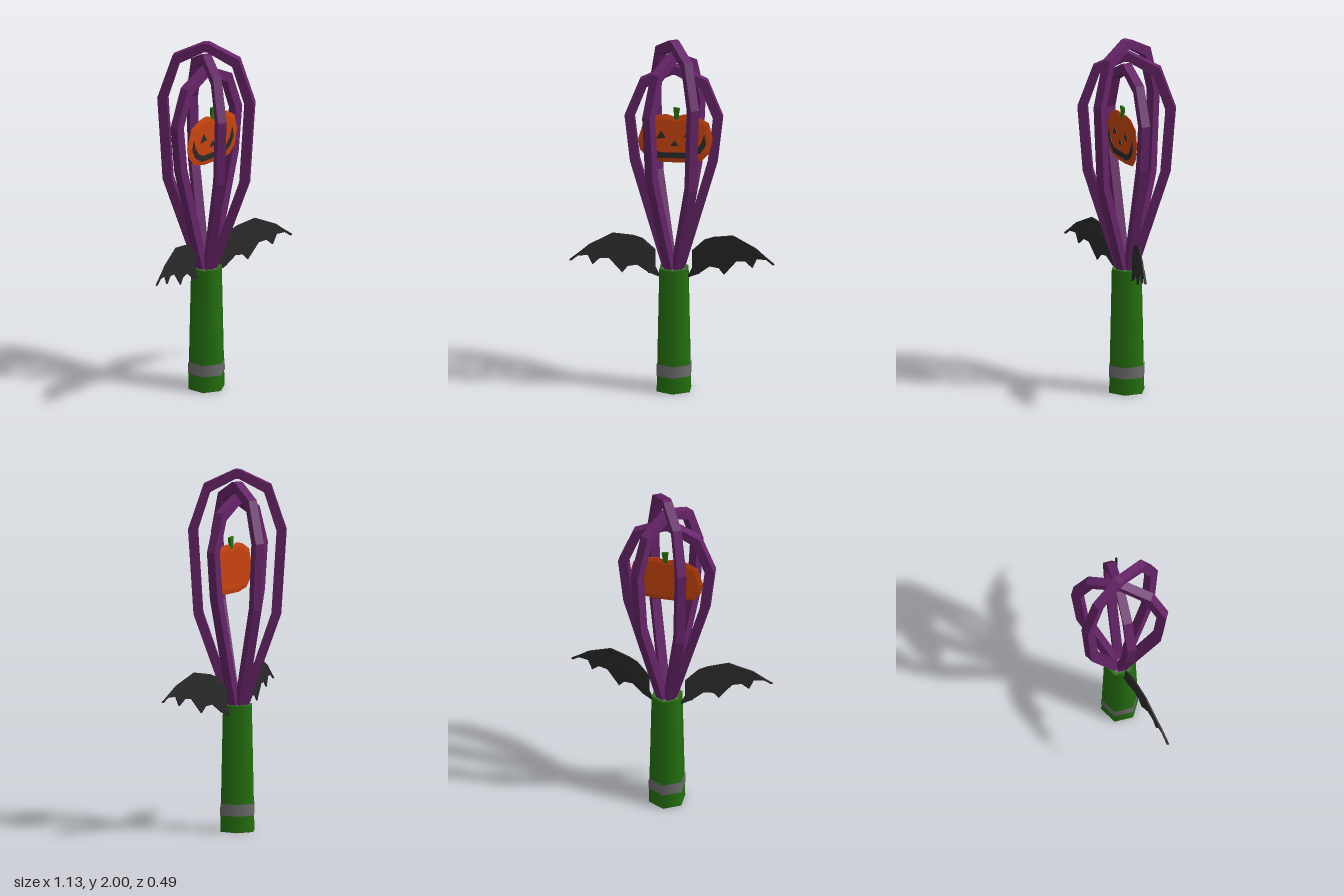
import * as THREE from 'three';

const mat = (name, color, side = THREE.FrontSide) => {
  const m = new THREE.MeshStandardMaterial({ color, side });
  m.name = name;
  return m;
};

const shapeOf = (pts, s = 1) => new THREE.Shape(pts.map(([x, y]) => new THREE.Vector2(x * s, y)));

export function createModel() {
  const purple = mat('purple', 0x662468);
  const green = mat('green', 0x24700f);
  const orange = mat('orange', 0xc8440f);
  const black = mat('black', 0x2b2b2b);
  const grey = mat('grey', 0x6c6c6c);

  const model = new THREE.Group();
  model.name = 'whisk';
  const add = (name, geometry, material, parent = model) => {
    const mesh = new THREE.Mesh(geometry, material);
    mesh.name = name;
    parent.add(mesh);
    return mesh;
  };
  const plate = (pts, depth, z, s = 1) =>
    new THREE.ExtrudeGeometry(shapeOf(pts, s), { depth, bevelEnabled: false }).translate(0, 0, z);

  // Tapered hexagonal handle with its ring and end caps
  add('handle', new THREE.CylinderGeometry(0.089, 0.105, 0.7, 6).translate(0, 0.35, 0), green);
  add('handleRing', new THREE.CylinderGeometry(0.105, 0.107, 0.065, 6, 1, true).translate(0, 0.123, 0), grey);
  add('handleTopCap', new THREE.CylinderGeometry(0.074, 0.074, 0.004, 6).translate(0, 0.7, 0), grey);
  add('handleBottomCap', new THREE.CylinderGeometry(0.104, 0.104, 0.004, 6).translate(0, 0.001, 0), black);

  // Three crossed wire loops of different heights: [angle, apex, shoulder, widest, knee]
  const loops = [
    [0, 1.86, 1.78, 1.57, 1.31],
    [60, 1.93, 1.85, 1.62, 1.25],
    [-60, 2.0, 1.92, 1.67, 1.2],
  ];
  for (const [angle, apex, shoulder, widest, knee] of loops) {
    const half = [
      [0.055, 0.68], [0.24, knee], [0.27, widest], [0.185, shoulder], [0.015, apex],
    ];
    const inner = [
      [0.006, 0.68], [0.188, knee + 0.01], [0.216, widest - 0.006], [0.148, shoulder - 0.043], [0.01, apex - 0.05],
    ];
    const flip = (pts) => pts.map(([x, y]) => [-x, y]).reverse();
    const ring = [...half, ...flip(half), ...inner.map(([x, y]) => [-x, y]), ...inner.slice().reverse()];
    const g = plate(ring, 0.05, -0.025);
    g.rotateY(THREE.MathUtils.degToRad(angle));
    add('wireLoop', g, purple);
  }

  // Thin domed pumpkin hanging inside the loops
  const pumpkin = new THREE.Group();
  pumpkin.name = 'pumpkin';
  model.add(pumpkin);
  const outline = [
    [-0.195, 1.44], [-0.165, 1.54], [-0.095, 1.578], [-0.04, 1.588], [0.01, 1.572], [0.06, 1.588],
    [0.13, 1.578], [0.195, 1.54], [0.217, 1.45], [0.195, 1.365], [0.155, 1.322], [0.06, 1.312],
    [-0.06, 1.312], [-0.14, 1.33], [-0.185, 1.385],
  ];
  const body = new THREE.ExtrudeGeometry(shapeOf(outline), {
    depth: 0.004, bevelThickness: 0.005, bevelSize: 0.025, bevelOffset: -0.025, bevelSegments: 1,
  }).translate(0, 0, 0.03);
  add('pumpkinBody', body, orange, pumpkin);
  add('pumpkinStem', plate([[0.005, 1.56], [0.026, 1.56], [0.036, 1.622], [0, 1.628]], 0.014, 0.025), green, pumpkin);

  // Carved face
  const face = {
    rightEye: [[-0.095, 1.448], [-0.042, 1.455], [-0.068, 1.495]],
    leftEye: [[0.058, 1.462], [0.108, 1.445], [0.085, 1.495]],
    nose: [[-0.016, 1.408], [0.028, 1.408], [0.006, 1.44]],
    mouth: [
      [-0.152, 1.475], [-0.162, 1.42], [-0.135, 1.37], [-0.085, 1.338], [0.095, 1.338], [0.15, 1.37],
      [0.18, 1.42], [0.17, 1.475], [0.152, 1.425], [0.125, 1.39], [0.085, 1.37], [-0.075, 1.37],
      [-0.11, 1.39], [-0.135, 1.425],
    ],
  };
  for (const [name, pts] of Object.entries(face)) add(name, plate(pts, 0.004, 0.038), black, pumpkin);

  // Bat wings sweeping forward, with ribs running to each scallop tip
  const wingOutline = [
    [0.07, 0.64], [0.1, 0.7], [0.1, 0.8], [0.17, 0.87], [0.22, 0.89], [0.33, 0.91], [0.46, 0.85],
    [0.565, 0.765], [0.52, 0.79], [0.465, 0.79], [0.44, 0.735], [0.4, 0.77], [0.35, 0.765],
    [0.28, 0.68], [0.25, 0.715], [0.2, 0.72], [0.135, 0.67],
  ];
  const sweep = (x) => 0.26 * (Math.abs(x) - 0.07);
  const tips = [[0.135, 0.67], [0.28, 0.685], [0.44, 0.74], [0.56, 0.766]];
  for (const [side, name] of [[1, 'leftWing'], [-1, 'rightWing']]) {
    const wing = new THREE.Group();
    wing.name = name;
    model.add(wing);
    const g = plate(wingOutline, 0.008, -0.004, side);
    const p = g.attributes.position;
    for (let i = 0; i < p.count; i++) p.setZ(i, p.getZ(i) + sweep(p.getX(i)));
    g.computeVertexNormals();
    add('membrane', g, black, wing);
    const v = (x, y) => new THREE.Vector3(side * x, y, sweep(x));
    for (const [x, y] of tips) {
      const curve = new THREE.QuadraticBezierCurve3(v(0.13, 0.82), v(0.1 + x * 0.65, 0.86 + x * 0.05), v(x, y));
      add('wingRib', new THREE.TubeGeometry(curve, 5, 0.007, 4), black, wing);
    }
  }
  return model;
}
